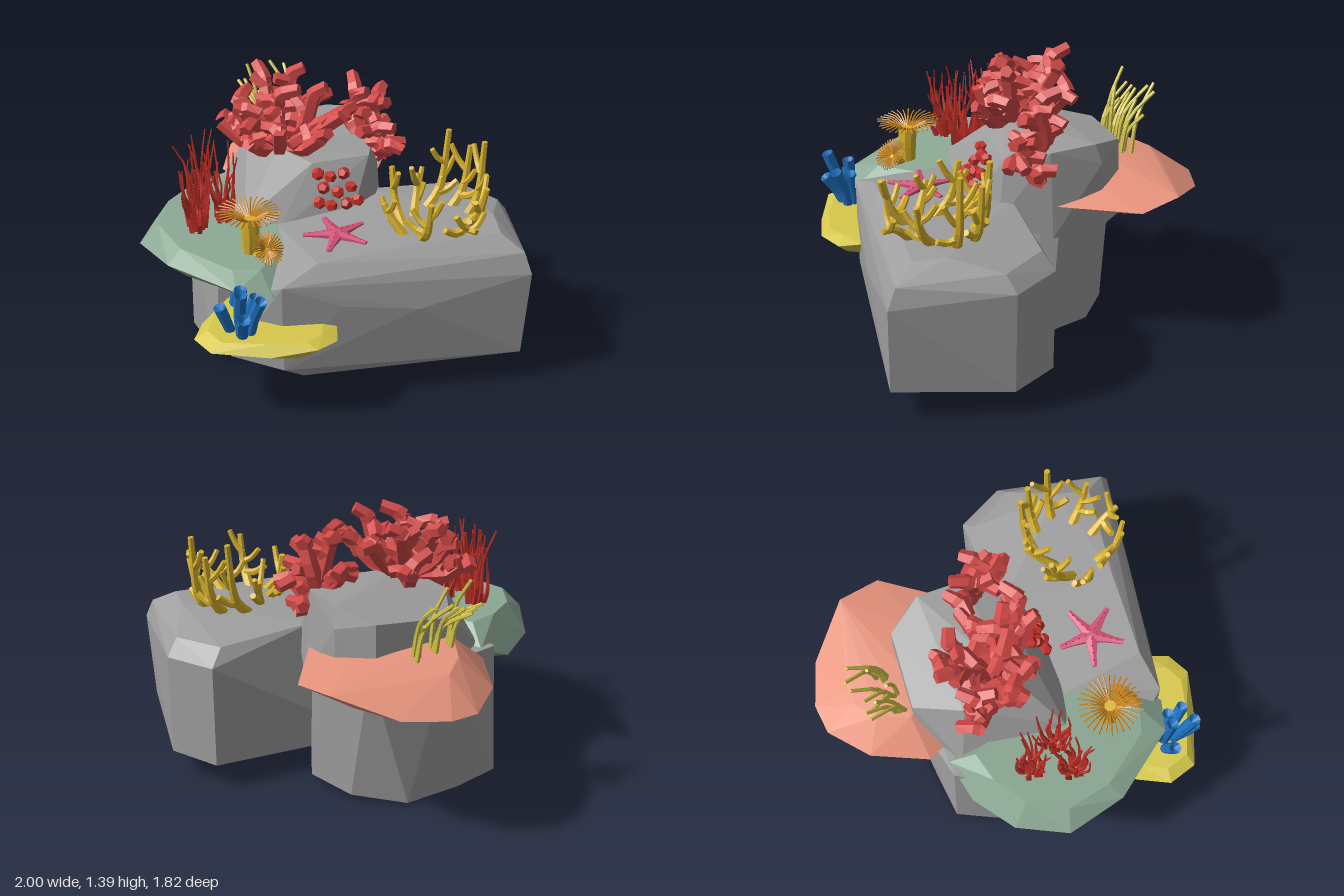
import * as THREE from 'three';
import { mergeGeometries } from 'three/addons/utils/BufferGeometryUtils.js';
import { ConvexGeometry } from 'three/addons/geometries/ConvexGeometry.js';

const V = (x, y, z) => new THREE.Vector3(x, y, z);
const paint = (name, color) => { const m = new THREE.MeshStandardMaterial({ color }); m.name = name; return m; };

// Small seeded generator for natural variation
let seed = 7;
const rnd = (a = 0, b = 1) => {
  seed = (seed * 16807) % 2147483647;
  return a + (b - a) * (seed / 2147483647);
};

// Tapered faceted tube through points, closed at the tip (or hollow)
function limb(pts, r0, r1, sides = 5, segs = 5, hollow = false) {
  const path = new THREE.CatmullRomCurve3(pts);
  const geo = new THREE.TubeGeometry(path, segs, 1, sides);
  const pos = geo.attributes.position, p = V(), end = path.getPointAt(1);
  for (let i = 0; i <= segs; i++) {
    const c = path.getPointAt(i / segs);
    const r = i === segs ? 0 : r0 + (r1 - r0) * (i / (segs - 1));
    const target = i === segs - 1 ? end : i === segs && hollow ? path.getPointAt(0.85) : c;
    for (let j = 0; j <= sides; j++) {
      const k = i * (sides + 1) + j;
      p.fromBufferAttribute(pos, k).sub(c).multiplyScalar(r).add(target);
      pos.setXYZ(k, p.x, p.y, p.z);
    }
  }
  const flat = geo.toNonIndexed();
  flat.computeVertexNormals();
  return flat;
}

export function createModel() {
  seed = 7;
  const model = new THREE.Group();
  const mat = {
    stone: paint('stone grey', 0x9e9e9e),
    green: paint('sage green', 0x8ca994),
    salmon: paint('salmon', 0xe6937c),
    yellow: paint('shelf yellow', 0xd6c84a),
    red: paint('coral red', 0xd24a48),
    deepRed: paint('deep red', 0xc8322a),
    gold: paint('gold', 0xd8b22e),
    blue: paint('blue', 0x1f74c4),
    pink: paint('pink', 0xd4557a),
    orange: paint('orange', 0xcf8a22),
  };
  const add = (name, geo, material, parent = model) => {
    const m = new THREE.Mesh(geo, material);
    m.name = name;
    parent.add(m);
    return m;
  };
  const hull = (name, material, pts) => add(name, new ConvexGeometry(pts.map(p => V(...p))), material);

  // Rocks
  const bigRock = hull('bigRock', mat.stone, [
    [-0.1, 0.74, 0.22], [0.05, 0.78, -0.31], [0.28, 0.75, -0.72], [0.54, 0.74, -0.74], [0.95, 0.72, -0.45],
    [0.82, 0.79, -0.42], [0.69, 0.8, -0.52], [0.56, 0.78, -0.02], [0.43, 0.76, 0.2], [0.35, 0.75, 0.36],
    [0.3, 0.67, 0.55], [-0.16, 0.6, 0.4], [0.05, 0.55, 0.6], [1, 0.62, -0.45], [0.54, 0.66, -0.81],
    [0.27, 0.67, -0.8], [0.7, 0.5, 0.02], [0.48, 0.55, 0.32], [-0.16, 0.18, 0.45], [-0.16, 0.13, -0.1],
    [0.04, 0.21, 0.65], [0.3, 0.2, 0.54], [0.31, 0.115, 0.42], [0.63, 0.175, -0.01], [0.98, 0.17, -0.43],
    [0.54, 0.14, -0.81], [0.27, 0.14, -0.8], [0, 0.13, -0.35], [0.1, 0.11, 0.1]]);
  const lowerRock = hull('lowerRock', mat.stone, [
    [-0.76, 0.02, 0.12], [-0.68, 0, -0.1], [-0.57, 0.01, -0.38], [-0.32, 0.03, -0.5], [-0.07, 0.05, -0.48],
    [0.14, 0.08, -0.2], [0.14, 0.08, 0.1], [-0.2, 0.05, 0.54], [-0.54, 0.02, 0.4], [-0.73, 0.7, 0.12],
    [-0.66, 0.72, -0.2], [-0.44, 0.75, -0.52], [-0.1, 0.75, -0.5], [0.08, 0.7, -0.2], [0.08, 0.68, 0.1],
    [-0.2, 0.6, 0.5], [-0.51, 0.6, 0.42]]);
  const upperRock = hull('upperRock', mat.stone, [
    [-0.69, 0.68, -0.19], [-0.67, 0.96, -0.2], [-0.49, 0.6, -0.55], [-0.48, 1, -0.53], [-0.3, 0.6, -0.59],
    [-0.29, 0.95, -0.59], [-0.27, 1.05, -0.56], [-0.05, 0.6, -0.5], [-0.06, 1.04, -0.46], [0.13, 0.68, -0.3],
    [0.07, 0.99, -0.28], [0.13, 0.68, -0.08], [-0.08, 0.98, -0.03], [-0.05, 0.7, 0.25], [-0.18, 0.76, 0.35],
    [-0.45, 0.74, 0.2], [-0.65, 0.7, 0.1], [-0.25, 1.03, 0.04], [-0.52, 1, 0]]);

  // Plate shelves: a rim with inset top and bottom rings
  const shelf = (name, material, rim, [cx, cz], topInset, topY, bottomInset, bottomY) => {
    const ring = (s, yOf) => rim.map(([x, , z]) => {
      const px = cx + (x - cx) * s, pz = cz + (z - cz) * s;
      return [px, yOf(px, pz), pz];
    });
    return hull(name, material, [...rim, ...ring(topInset, topY), ...ring(bottomInset, bottomY)]);
  };
  const greenShelf = shelf('greenShelf', mat.green, [
    [-0.7, 0.7, 0.05], [-0.74, 0.6, 0.25], [-0.7, 0.61, 0.5], [-0.54, 0.64, 0.72], [-0.24, 0.67, 0.79],
    [0.16, 0.66, 0.71], [0.28, 0.61, 0.58], [0.2, 0.63, 0.3], [-0.2, 0.68, 0.05]],
  [-0.27, 0.42], 0.76, (x, z) => 0.725 - 0.07 * x - 0.06 * (z - 0.42), 0.68, x => 0.555 + 0.03 * Math.abs(x + 0.2));
  const yellowShelf = shelf('yellowShelf', mat.yellow, [
    [-0.15, 0.39, 0.5], [-0.06, 0.4, 0.74], [0.04, 0.42, 0.88], [0.19, 0.425, 0.905], [0.4, 0.41, 0.72],
    [0.54, 0.44, 0.55], [0.54, 0.43, 0.42], [0.46, 0.44, 0.34], [0, 0.42, 0.36]],
  [0.22, 0.6], 0.8, () => 0.46, 0.68, (x, z) => 0.33 + 0.16 * (z - 0.42));
  const salmonShelf = shelf('salmonShelf', mat.salmon, [
    [-1, 0.69, -0.49], [-0.95, 0.7, -0.63], [-0.79, 0.72, -0.79], [-0.49, 0.81, -0.91], [-0.28, 0.78, -0.86],
    [-0.06, 0.76, -0.47], [-0.5, 0.72, 0], [-0.75, 0.7, -0.02], [-0.94, 0.7, -0.25]],
  [-0.62, -0.42], 0.55, (x, z) => 0.85 + 0.17 * (z + 0.3), 0.72, (x, z) => 0.68 - 0.05 * (z + 0.4));

  // Height of the topmost stone at x, z
  const solids = [bigRock, lowerRock, upperRock, greenShelf, yellowShelf, salmonShelf];
  const ray = new THREE.Raycaster();
  const ground = (x, z) => {
    ray.set(V(x, 3, z), V(0, -1, 0));
    const hit = ray.intersectObjects(solids)[0];
    return hit ? hit.point.y : 0.75;
  };
  const root = (x, z) => V(x, ground(x, z) - 0.015, z);

  // Thick red corals: stubby knobs crowding limbs that fan from each root
  const redCoral = (name, base, tips) => {
    const parts = [];
    for (const t of tips) {
      const tip = V(...t), mid = base.clone().lerp(tip, 0.6).add(V(rnd(-0.03, 0.03), -0.04, rnd(-0.03, 0.03)));
      parts.push(limb([base, mid, tip], 0.045, 0.038, 5, 5));
      for (const f of [0.5, 0.7, 0.85, 0.97]) {
        const s = base.clone().lerp(tip, f), a = rnd(0, 6.28), d = rnd(0.06, 0.11);
        const e = s.clone().add(V(Math.cos(a) * d, rnd(-0.02, 0.06), Math.sin(a) * d));
        parts.push(limb([s, s.clone().lerp(e, 0.5).add(V(0, 0.015, 0)), e], 0.042, 0.032, 5, 3));
      }
    }
    add(name, mergeGeometries(parts), mat.red);
  };
  redCoral('largeRedCoral', root(-0.3, -0.02), [
    [-0.56, 1.1, 0.14], [-0.5, 1.23, 0.07], [-0.48, 1.3, -0.08], [-0.36, 1.25, 0.17], [-0.32, 1.08, 0.18],
    [-0.4, 1.31, -0.2], [-0.26, 1.31, 0.02], [-0.16, 1.18, 0.12], [-0.14, 1.31, -0.1], [-0.03, 1.13, -0.05],
    [0.02, 1.24, -0.14], [-0.46, 1.16, -0.22], [-0.24, 1.24, -0.23]]);
  redCoral('smallRedCoral', root(-0.05, -0.38), [
    [-0.18, 1.14, -0.36], [-0.1, 1.27, -0.35], [0, 1.26, -0.42], [0.11, 1.02, -0.37],
    [0.02, 0.92, -0.46], [0.05, 1.1, -0.37]]);

  // Gold antler coral: forked stems standing in a ring, joined by low side shoots
  const stems = [
    [0.42, -0.16, 0.3, 1.04, -0.2], [0.4, -0.26, 0.32, 0.95, -0.37], [0.38, -0.38, 0.4, 1.17, -0.5],
    [0.47, -0.46, 0.5, 1.1, -0.55], [0.58, -0.46, 0.61, 1.17, -0.52], [0.63, -0.36, 0.75, 1.02, -0.38],
    [0.65, -0.25, 0.82, 0.87, -0.23], [0.57, -0.13, 0.67, 1.02, -0.07], [0.48, -0.1, 0.38, 0.92, -0.06]];
  const antlers = [];
  const shoot = (s, e, r) => antlers.push(limb([s, s.clone().lerp(e, 0.5).add(V(0, -0.015, 0)), e], r, r * 0.75, 6, 5));
  for (const [x, z, tx, ty, tz] of stems) {
    const b = root(x, z), t = V(tx, ty, tz), knee = V(x * 0.35 + tx * 0.65, b.y + 0.09, z * 0.35 + tz * 0.65);
    antlers.push(limb([b, knee, t], 0.027, 0.015, 6, 7));
    const around = V(-(z + 0.3), 0, x - 0.51).normalize();
    const low = knee.clone().lerp(b, 0.3);
    shoot(low, low.clone().addScaledVector(around, rnd(0.07, 0.11)).add(V(0, rnd(0, 0.06), 0)), 0.022);
    for (const side of [-1, 1]) {
      const high = knee.clone().lerp(t, side > 0 ? 0.15 : 0.45);
      shoot(high, high.clone().addScaledVector(around, side * rnd(0.05, 0.09)).add(V(0, rnd(0.07, 0.13), 0)), 0.018);
    }
  }
  add('antlerCoral', mergeGeometries(antlers), mat.gold);

  // Red sea whips in three clumps
  const whips = [];
  for (const [cx, cz] of [[-0.46, 0.39], [-0.29, 0.38], [-0.32, 0.53]]) {
    for (let i = 0; i < 13; i++) {
      const a = i * 2.4, d = 0.013 * Math.sqrt(i), h = rnd(0.25, 0.42), lean = rnd(0.02, 0.08);
      const b = root(cx + Math.cos(a) * d, cz + Math.sin(a) * d);
      const at = (f, w) => b.clone().add(V(Math.cos(a) * lean * f + rnd(-w, w), h * f, Math.sin(a) * lean * f + rnd(-w, w)));
      whips.push(limb([b, at(0.3, 0.02), at(0.65, 0.02), at(1, 0.02)], 0.016, 0.004, 4, 7));
    }
  }
  add('seaWhips', mergeGeometries(whips), mat.deepRed);

  // Leaning sea grass on the salmon shelf
  const grass = [];
  for (const [cx, cz] of [[-0.66, -0.45], [-0.69, -0.34], [-0.72, -0.26]]) {
    for (let i = 0; i < 4; i++) {
      const b = root(cx + i * 0.013, cz + rnd(-0.02, 0.02)), h = rnd(0.2, 0.37), l = rnd(0.04, 0.19), w = rnd(-0.07, 0.04);
      grass.push(limb([b, b.clone().add(V(-l * 0.25, h * 0.6, w * 0.2)), b.clone().add(V(-l, h, w))], 0.013, 0.009, 5, 6));
    }
  }
  add('seaGrass', mergeGeometries(grass), mat.yellow);

  // Feather worms: a stalk with a cup of fine feelers
  const worm = (name, x, y, z, h, r, tilt) => {
    const g = new THREE.Group();
    g.name = name;
    g.position.set(x, y, z);
    g.rotation.z = tilt;
    add('stalk', limb([V(0, 0, 0), V(0.004, h / 2, 0), V(0, h, 0)], r * 0.24, r * 0.3, 9, 6), mat.gold, g);
    const rays = [];
    for (let i = 0; i < 32; i++) {
      const a = i / 32 * Math.PI * 2, q = r * rnd(0.9, 1.03);
      const at = (f, up) => V(Math.cos(a) * q * f, h + up * r, Math.sin(a) * q * f);
      rays.push(limb([at(0.1, -0.08), at(0.5, 0.16), at(0.85, 0.26), at(1, 0.2)], 0.0055, 0.004, 4, 5));
    }
    add('feelers', mergeGeometries(rays), mat.orange, g);
    model.add(g);
  };
  worm('largeFeatherWorm', 0, 0.7, 0.47, 0.2, 0.16, 0);
  worm('smallFeatherWorm', 0.04, 0.71, 0.47, 0.1, 0.085, -0.85);

  // Red polyps on the sloping rock face
  const out = V(0.8, 0.35, 0.5).normalize(), across = V(-0.53, 0, 0.85), up = across.clone().cross(out);
  const polyps = [];
  for (const [u, v] of [[0, 0], [0.07, 0.03], [-0.07, 0.02], [0.03, 0.08], [-0.04, 0.09], [0.04, -0.06], [-0.04, -0.06], [0.1, -0.04], [-0.1, -0.05], [0.09, 0.1]]) {
    const start = V(0.03, 0.84, -0.09).addScaledVector(across, u).addScaledVector(up, Math.sign(up.y) * v).addScaledVector(out, 1);
    ray.set(start, out.clone().negate());
    const p = ray.intersectObject(upperRock)[0].point.addScaledVector(out, 0.015);
    polyps.push(new THREE.DodecahedronGeometry(0.033).rotateY(u * 30).translate(p.x, p.y, p.z));
  }
  add('polyps', mergeGeometries(polyps), mat.deepRed);

  // Starfish with small spots
  const star = new THREE.Group();
  star.name = 'starfish';
  star.position.set(0.245, ground(0.245, 0.125) + 0.012, 0.125);
  const arms = [], spots = [];
  for (let i = 0; i < 5; i++) {
    const a = -1.48 + i * Math.PI * 0.4, at = (d, y) => V(Math.cos(a) * d, y, Math.sin(a) * d);
    arms.push(limb([at(-0.01, 0), at(0.08, 0), at(0.165, 0)], 0.042, 0.014, 6, 6).scale(1, 0.6, 1));
    for (let k = 0; k < 4; k++) {
      const p = at(0.03 + k * 0.035, 0.022 - k * 0.004);
      spots.push(new THREE.OctahedronGeometry(0.005).translate(p.x, p.y, p.z));
    }
  }
  add('arms', mergeGeometries(arms), mat.pink, star);
  add('spots', mergeGeometries(spots), mat.deepRed, star);
  model.add(star);

  // Blue tube sponge, open at the ends
  const tubes = [
    [0.28, 0.74, 0.79], [0.31, 0.67, 0.69], [0.2, 0.7, 0.72], [0.14, 0.61, 0.8],
    [0.13, 0.58, 0.69], [0.3, 0.61, 0.79], [0.24, 0.65, 0.66]].map(([x, y, z]) => {
    const b = root(0.18 + (x - 0.21) * 0.5, 0.71 + (z - 0.73) * 0.4);
    return limb([b, V(b.x * 0.65 + x * 0.35, b.y + (y - b.y) * 0.5, b.z * 0.5 + z * 0.5), V(x, y, z)], 0.025, 0.031, 8, 6, true);
  });
  add('tubeSponge', mergeGeometries(tubes), mat.blue);

  return model;
}
